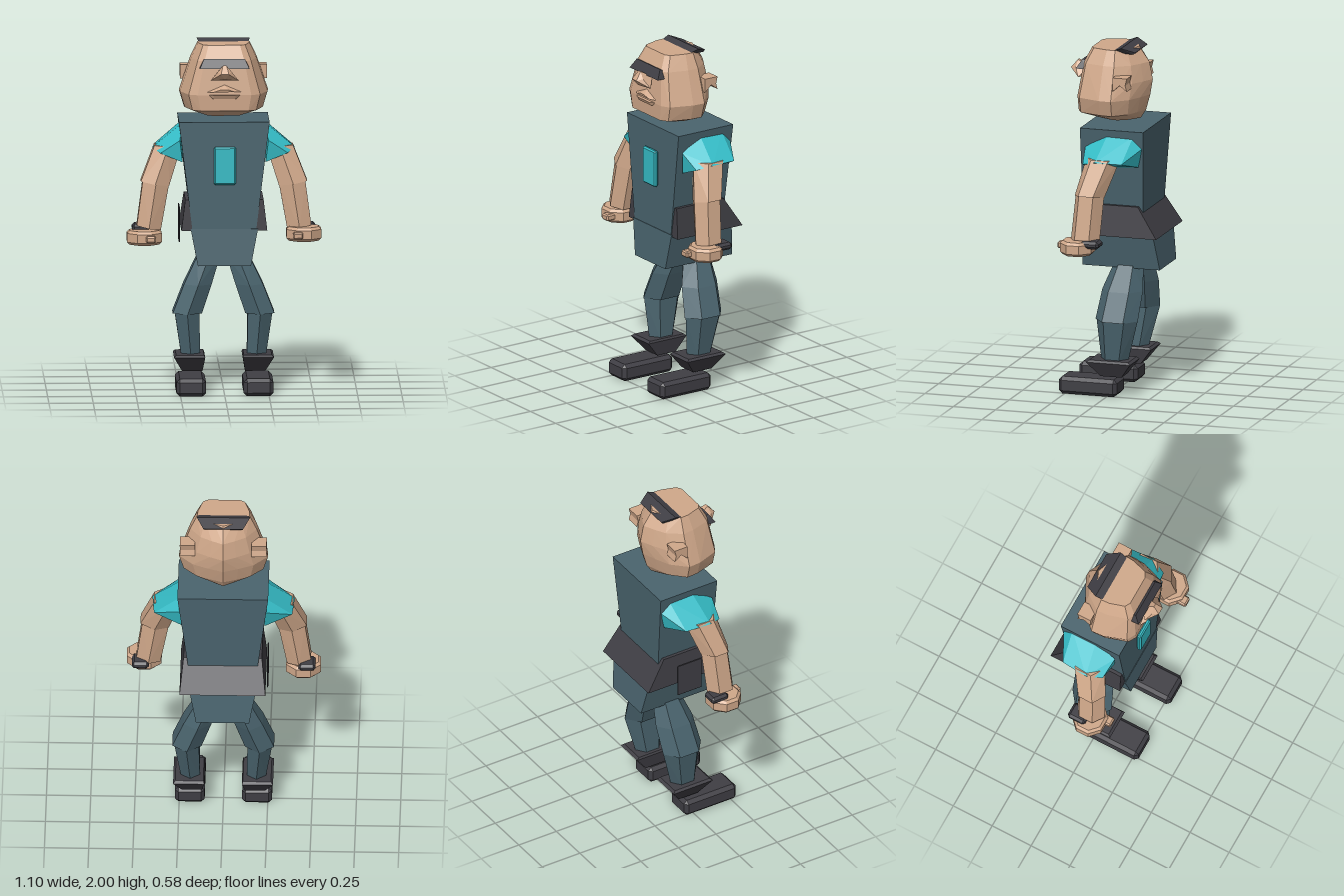
import * as THREE from 'three';
import { ConvexGeometry } from 'three/addons/geometries/ConvexGeometry.js';

const paint = (name, color) => Object.assign(
  new THREE.MeshStandardMaterial({ color, flatShading: true }), { name });

export function createModel() {
  const skin = paint('skin', 0xd0a88a);
  const cloth = paint('slate cloth', 0x4a646e);
  const cyan = paint('cyan trim', 0x35bcc6);
  const dark = paint('dark leather', 0x3f3e44);
  const root = new THREE.Group();
  root.name = 'figure';

  const add = (name, geometry, material, parent = root) => {
    const mesh = new THREE.Mesh(geometry, material);
    mesh.name = name;
    parent.add(mesh);
    return mesh;
  };
  // Faceted solid around a set of [x, y, z] corners
  const hull = (pts) => new ConvexGeometry(pts.map((p) => new THREE.Vector3(...p)));
  // Rectangle at height y
  const rect = (y, x0, x1, z0, z1) => [[x0, y, z0], [x1, y, z0], [x1, y, z1], [x0, y, z1]];
  // Regular ring at height y; tilt raises the +x side
  const ring = (y, cx, cz, rx, rz, n = 6, tilt = 0) => Array.from({ length: n }, (_, i) => {
    const a = ((i + 0.5) / n) * Math.PI * 2;
    return [cx + Math.cos(a) * rx, y + Math.cos(a) * tilt, cz + Math.sin(a) * rz];
  });
  const mirrorX = (pts) => [...pts, ...pts.map(([x, y, z]) => [-x, y, z])];
  // Block with chamfered edges
  const block = (x0, x1, y0, y1, z0, z1, b) => hull([
    ...rect(y0, x0 + b, x1 - b, z0 + b, z1 - b), ...rect(y1, x0 + b, x1 - b, z0 + b, z1 - b),
    ...rect(y0 + b, x0, x1, z0 + b, z1 - b), ...rect(y1 - b, x0, x1, z0 + b, z1 - b),
    ...rect(y0 + b, x0 + b, x1 - b, z0, z1), ...rect(y1 - b, x0 + b, x1 - b, z0, z1),
  ]);

  // Torso, belt and hips
  add('torso', hull([...rect(0.93, -0.18, 0.18, -0.19, 0.16),
    ...rect(1.548, -0.256, 0.256, -0.215, 0.16)]), cloth);
  add('belt', hull([...rect(1.105, -0.22, 0.222, -0.172, 0.15),
    ...rect(0.928, -0.242, 0.243, -0.288, 0.157)]), dark);
  add('hips', hull([...rect(0.94, -0.19, 0.19, -0.25, 0.163),
    ...rect(0.73, -0.15, 0.15, -0.28, 0.178)]), cloth);
  add('chestPlate', block(-0.06, 0.065, 1.195, 1.41, 0.165, 0.192, 0.008), cyan);
  const pouch = add('hangingPouch', block(-0.254, -0.248, 0.85, 1.05, -0.1, 0.06, 0.002), dark);
  pouch.material = dark;

  // Head: rings of [height, half width, back, front]
  const head = new THREE.Group();
  head.name = 'head';
  root.add(head);
  const plan = [[0, -1], [0.34, -0.82], [0.68, -0.6], [1, -0.12], [0.98, 0.25], [0.8, 0.87], [0.6, 1]];
  const levels = [
    [1.572, 0.11, 0.12, 0.07], [1.62, 0.225, 0.15, 0.205], [1.71, 0.252, 0.175, 0.208],
    [1.8, 0.22, 0.19, 0.195], [1.9, 0.188, 0.17, 0.182], [1.985, 0.148, 0.11, 0.14],
  ];
  add('skull', hull(levels.flatMap(([y, w, b, f]) =>
    mirrorX(plan.map(([x, z]) => [x * w, y, z < 0 ? z * b : z * f])))), skin, head);
  add('hair', hull(mirrorX([
    [0.14, 1.982, 0], [0.15, 2, -0.05], [0.112, 1.972, -0.122],
    [0.13, 1.97, -0.01], [0.11, 1.96, -0.11],
  ])), dark, head);
  add('brow', hull(mirrorX([
    [0.14, 1.862, 0.222], [0.115, 1.915, 0.19], [0.14, 1.862, 0.175], [0.115, 1.905, 0.165],
  ])), dark, head);
  add('nose', hull(mirrorX([
    [0.078, 1.797, 0.228], [0.022, 1.84, 0.288], [0.04, 1.848, 0.255],
    [0.01, 1.885, 0.25], [0.03, 1.85, 0.185], [0.03, 1.808, 0.19], [0, 1.805, 0.262],
  ])), skin, head);
  add('upperLip', hull(mirrorX([
    [0.115, 1.725, 0.195], [0, 1.768, 0.2], [0.06, 1.73, 0.228], [0.02, 1.745, 0.233],
  ])), skin, head);
  add('lowerLip', hull(mirrorX([
    [0.1, 1.712, 0.2], [0.06, 1.71, 0.225], [0.07, 1.685, 0.2], [0.06, 1.69, 0.215],
  ])), skin, head);

  // Notched ears
  const earShape = new THREE.Shape([[0.03, 0.04], [0.115, 0.04], [0.105, 0], [0.115, -0.035],
    [0.072, -0.002], [0.03, -0.04]].map((p) => new THREE.Vector2(...p)));
  for (const s of [1, -1]) {
    const ear = add(s > 0 ? 'leftEar' : 'rightEar',
      new THREE.ExtrudeGeometry(earShape, { depth: 0.085, bevelEnabled: false }), skin, head);
    ear.rotation.y = Math.PI / 2;
    ear.position.set(s > 0 ? 0.16 : -0.245, 1.81, 0);
  }

  for (const s of [1, -1]) {
    const side = s > 0 ? 'left' : 'right';
    const flip = (pts) => pts.map(([x, y, z]) => [x * s, y, z]);

    // Arm: sleeve, upper arm, forearm
    const arm = new THREE.Group();
    arm.name = side + 'Arm';
    root.add(arm);
    add('sleeve', hull(flip([
      [0.235, 1.52, 0], [0.235, 1.515, -0.15], [0.24, 1.45, -0.205], [0.235, 1.34, -0.18],
      [0.235, 1.315, 0.12], [0.25, 1.44, 0.13], [0.39, 1.385, -0.128], [0.402, 1.388, 0.025],
      [0.36, 1.365, 0.11], [0.35, 1.365, -0.12],
    ])), cyan, arm);
    add('upperArm', hull(flip([...ring(1.4, 0.315, 0, 0.088, 0.1, 6),
      ...ring(1.19, 0.39, 0.058, 0.092, 0.088, 6, -0.015 + 0.03)])), skin, arm);
    add('forearm', hull(flip([...ring(1.195, 0.385, 0.058, 0.085, 0.084, 6, 0.015),
      ...ring(0.94, 0.425, 0.073, 0.078, 0.085, 6, 0.015)])), skin, arm);

    // Hand, finger and wrist guard; the left hand sits slightly higher and further forward
    const hy = s > 0 ? 0.908 : 0.885;
    const hz = s > 0 ? 0.11 : 0.08;
    add('hand', hull(flip([
      ...ring(hy - 0.04, 0.45, hz, 0.09, 0.085, 8), ...ring(hy - 0.025, 0.45, hz, 0.106, 0.1, 8),
      ...ring(hy + 0.025, 0.45, hz, 0.106, 0.1, 8), ...ring(hy + 0.04, 0.45, hz, 0.09, 0.085, 8),
    ])), skin, arm);
    const fx = 0.415 * s;
    add('finger', block(fx - 0.028, fx + 0.028, hy - 0.02, hy + 0.018, hz, hz + 0.125, 0.008), skin, arm);
    const gx = 0.47 * s;
    add('wristGuard', block(gx - 0.048, gx + 0.048, 0.912, 0.955, -0.032, 0.078, 0.014), dark, arm);

    // Leg: thigh, shin, boot cuff, boot
    const leg = new THREE.Group();
    leg.name = side + 'Leg';
    root.add(leg);
    add('thigh', hull(flip([...ring(0.75, 0.085, -0.078, 0.075, 0.085),
      ...ring(0.6, 0.145, -0.058, 0.09, 0.12),
      ...ring(0.437, 0.205, -0.042, 0.095, 0.125)])), cloth, leg);
    add('shin', hull(flip([...ring(0.44, 0.206, -0.045, 0.08, 0.122),
      ...ring(0.2, 0.186, -0.025, 0.062, 0.08)])), cloth, leg);
    add('bootCuff', hull(flip([...rect(0.112, 0.12, 0.235, -0.08, 0.045),
      ...rect(0.198, 0.106, 0.282, -0.145, 0.115),
      ...rect(0.21, 0.112, 0.27, -0.13, 0.1)])), dark, leg);
    const bx = 0.19 * s;
    add('boot', block(bx - 0.084, bx + 0.084, 0, 0.1, -0.06, 0.285, 0.02), dark, leg);
  }
  return root;
}
